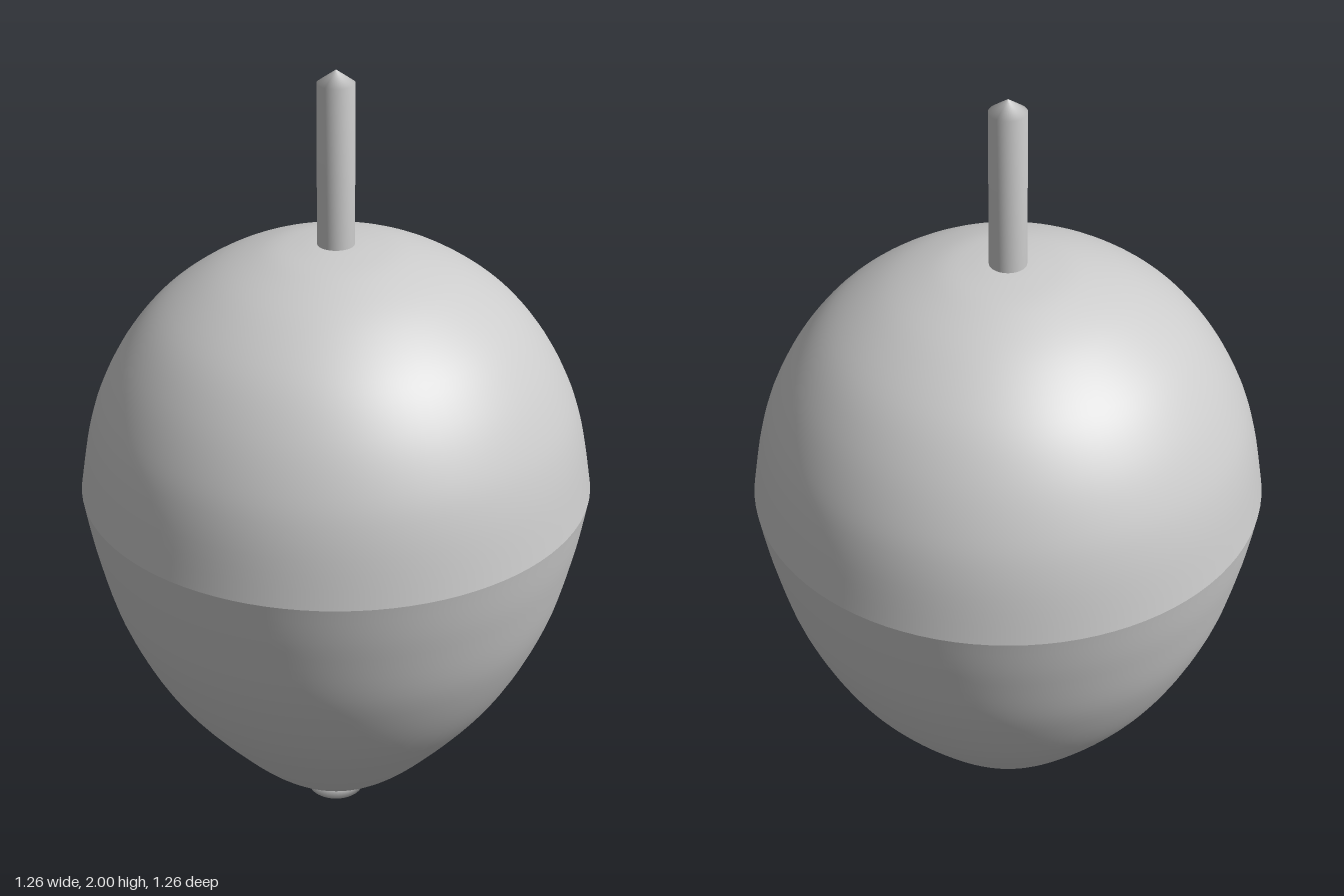
import * as THREE from 'three';

const material = new THREE.MeshStandardMaterial({ color: 0xcccccc, side: THREE.DoubleSide });
const vectors = (points) => points.map(([r, y]) => new THREE.Vector2(r, y));

// Turn a profile (radius, height), listed from bottom to top, around the y axis
function turned(name, profile, segments) {
  const mesh = new THREE.Mesh(new THREE.LatheGeometry(profile, segments), material);
  mesh.name = name;
  return mesh;
}

const curved = (points) => new THREE.SplineCurve(vectors(points)).getPoints(40);

export function createModel() {
  const group = new THREE.Group();
  group.name = 'spinningTop';

  // Tapering lower body, meeting the upper body at a sharp rim
  group.add(turned('lowerBody', curved([
    [0, 0.03], [0.07, 0.04], [0.165, 0.094], [0.28, 0.198], [0.445, 0.4],
    [0.55, 0.605], [0.605, 0.8], [0.632, 0.945],
  ]), 96));

  // Domed upper body
  group.add(turned('upperBody', curved([
    [0.632, 0.945], [0.607, 1.09], [0.572, 1.2], [0.51, 1.315], [0.425, 1.415],
    [0.305, 1.5], [0.18, 1.552], [0.08, 1.57], [0, 1.574],
  ]), 96));

  // Spindle with a shallow pointed tip
  group.add(turned('stem', vectors([[0.045, 1.55], [0.045, 1.968], [0, 2]]), 48));

  // Small foot under the body
  group.add(turned('foot', vectors([[0, 0], [0.072, 0], [0.072, 0.037], [0, 0.037]]), 48));

  return group;
}
